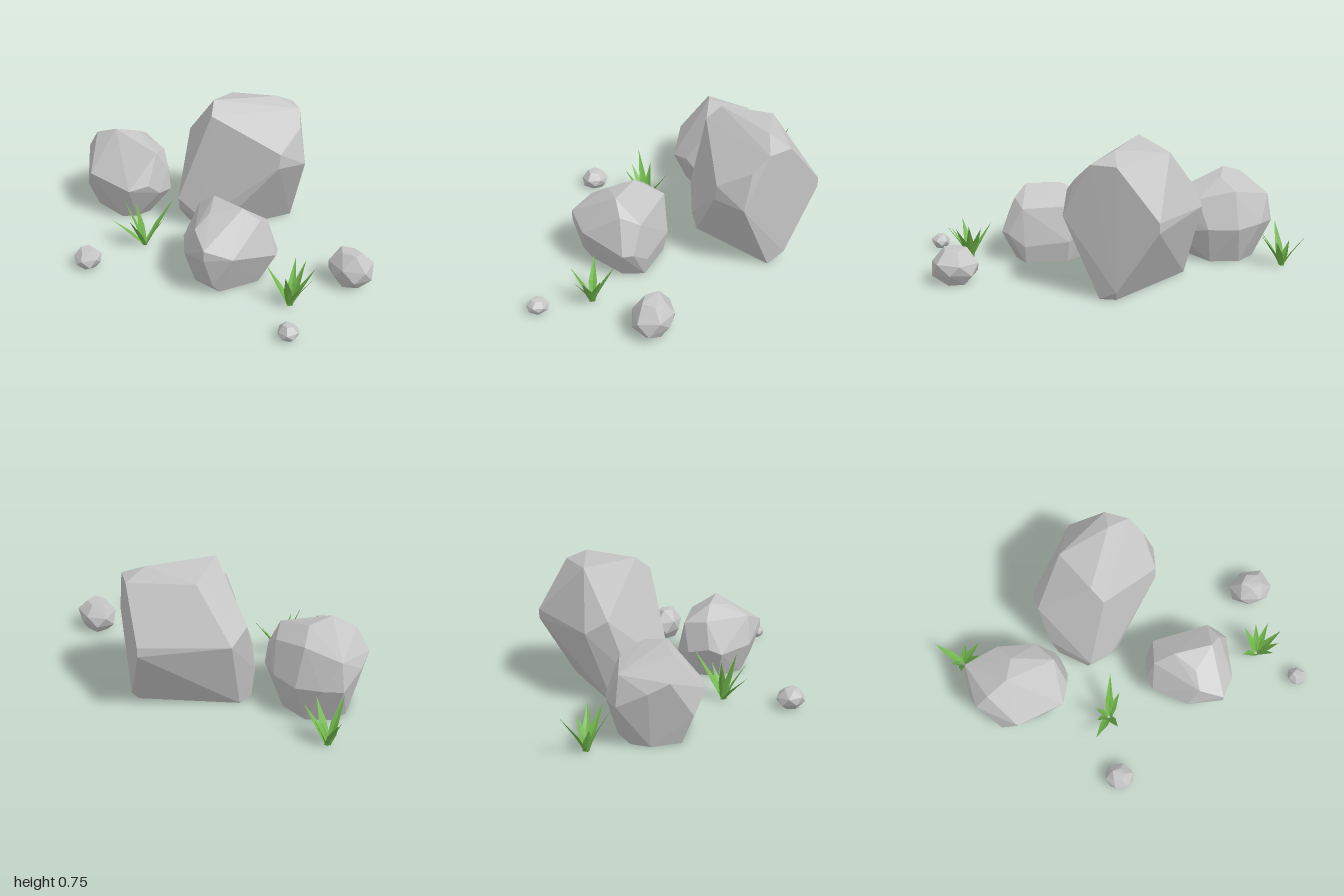
import * as THREE from 'three';
import { ConvexGeometry } from 'three/addons/geometries/ConvexGeometry.js';

const stone = new THREE.MeshStandardMaterial({ color: 0xc4c4c4, flatShading: true });
stone.name = 'grey stone';
const leaf = new THREE.MeshStandardMaterial({ color: 0x72b84c, flatShading: true, side: THREE.DoubleSide });
leaf.name = 'grass green';

// A boulder is the convex hull of its corner points
function boulder(name, corners) {
  const mesh = new THREE.Mesh(new ConvexGeometry(corners.map(c => new THREE.Vector3(...c))), stone);
  mesh.name = name;
  return mesh;
}

// A pebble is the hull of uneven rings: base, lower waist, upper waist, crown
function pebble(name, x, z, rx, h, rz, turn) {
  const rings = [[0, 0.55, 5], [0.3, 0.95, 6], [0.62, 0.98, 6], [0.97, 0.5, 5]];
  const corners = [];
  rings.forEach(([y, r, n], k) => {
    for (let i = 0; i < n; i++) {
      const a = turn + k * 0.55 + (i / n) * Math.PI * 2;
      const wobble = 1 + 0.06 * Math.sin(i * 2.3 + k * 1.7 + turn);
      const lift = k === 0 ? 0 : 0.05 * Math.sin(i * 1.9 + turn);
      corners.push([x + Math.cos(a) * rx * r * wobble, Math.min(1, y + lift) * h, z + Math.sin(a) * rz * r * wobble]);
    }
  });
  return boulder(name, corners);
}

// A folded blade leaning from its root to a pointed tip
function blade(root, tip) {
  const out = new THREE.Vector3(tip.x - root.x, 0, tip.z - root.z).normalize();
  const side = new THREE.Vector3(-out.z, 0, out.x);
  const section = (t, lean, w) => {
    const c = new THREE.Vector3(
      root.x + (tip.x - root.x) * lean, tip.y * t, root.z + (tip.z - root.z) * lean);
    return [
      c.clone().addScaledVector(side, w),
      c.clone().addScaledVector(out, 0.01 * (1 - t)),
      c.clone().addScaledVector(side, -w),
    ];
  };
  const a = section(0, 0, 0.017), b = section(0.45, 0.4, 0.021);
  const points = [];
  for (let i = 0; i < 2; i++) {
    points.push(a[i], a[i + 1], b[i + 1], a[i], b[i + 1], b[i], b[i], b[i + 1], tip);
  }
  const geometry = new THREE.BufferGeometry().setFromPoints(points);
  geometry.computeVertexNormals();
  const mesh = new THREE.Mesh(geometry, leaf);
  mesh.name = 'grassBlade';
  return mesh;
}

function tuft(name, x, z, tips) {
  const group = new THREE.Group();
  group.name = name;
  const root = new THREE.Vector3(x, 0, z);
  tips.forEach(t => group.add(blade(root, new THREE.Vector3(...t))));
  return group;
}

export function createModel() {
  const model = new THREE.Group();
  model.name = 'rocksAndGrass';

  // Large boulder at the back
  model.add(boulder('largeBoulder', [
    [-0.10, 0.745, -0.18], [0.10, 0.735, -0.49], [-0.19, 0.70, -0.44], [-0.055, 0.68, -0.11],
    [0.23, 0.68, -0.53], [0.12, 0.68, -0.61], [0.29, 0.60, -0.46], [0.30, 0.50, -0.28],
    [0.30, 0.42, -0.27], [0.35, 0.41, -0.44], [-0.06, 0.43, -0.73], [-0.06, 0.38, -0.73],
    [-0.38, 0.47, -0.28], [-0.38, 0.40, -0.40], [-0.36, 0.18, -0.18],
    [-0.19, 0.18, 0.02], [-0.20, 0.10, 0.0], [-0.05, 0.07, -0.035],
    [0.19, 0, -0.54], [0.12, 0.05, -0.61], [0.11, 0, -0.57],
    [0.0, 0, -0.08], [-0.20, 0, -0.08], [-0.33, 0, -0.17], [-0.33, 0, -0.27],
  ]));

  // Medium boulder on the -x side
  model.add(boulder('mediumBoulder', [
    [-0.66, 0.49, 0.06], [-0.78, 0.45, 0.10], [-0.60, 0.46, -0.06], [-0.65, 0.40, -0.17],
    [-0.85, 0.37, -0.14], [-0.86, 0.34, 0.10], [-0.385, 0.395, 0.0], [-0.45, 0.36, -0.13],
    [-0.36, 0.29, -0.07], [-0.33, 0.17, 0.03], [-0.35, 0.23, 0.10], [-0.41, 0.21, 0.20],
    [-0.68, 0.26, 0.25], [-0.77, 0.15, 0.20], [-0.88, 0.29, 0.0], [-0.875, 0.22, -0.15],
    [-0.79, 0.22, -0.21], [-0.65, 0.20, -0.24], [-0.49, 0.20, -0.20], [-0.34, 0.16, -0.07],
    [-0.46, 0, 0.10], [-0.52, 0, 0.16], [-0.75, 0, 0.14], [-0.81, 0, 0.0],
    [-0.79, 0, -0.10], [-0.68, 0, -0.18], [-0.52, 0, -0.15], [-0.45, 0, 0.0],
  ]));

  // Front boulder on the +x side
  model.add(boulder('frontBoulder', [
    [0.17, 0.31, 0.05], [0.49, 0.31, 0.06], [0.24, 0.41, 0.19], [0.45, 0.415, 0.21],
    [0.13, 0.33, 0.18], [0.52, 0.35, 0.16], [0.32, 0.385, 0.31], [0.31, 0.325, 0.41],
    [0.43, 0.275, 0.475], [0.43, 0.22, 0.475], [0.53, 0.22, 0.37], [0.60, 0.17, 0.12],
    [0.57, 0.17, 0.07], [0.245, 0.12, 0.005], [0.485, 0.10, 0.03], [0.12, 0.15, 0.08],
    [0.085, 0.18, 0.20], [0.095, 0.15, 0.27], [0.245, 0.17, 0.42], [0.44, 0.06, 0.42],
    [0.52, 0, 0.16], [0.44, 0, 0.37], [0.27, 0, 0.37], [0.16, 0, 0.25],
    [0.17, 0, 0.09], [0.25, 0, 0.03], [0.48, 0, 0.05],
  ]));

  // Loose stones
  model.add(pebble('sideStone', 0.87, -0.15, 0.122, 0.188, 0.108, 0.3));
  model.add(pebble('frontStone', -0.24, 0.655, 0.078, 0.105, 0.078, 1.1));
  model.add(pebble('smallStone', 0.93, 0.44, 0.054, 0.076, 0.054, 2.0));

  // Grass tufts, given by their blade tips
  model.add(tuft('backGrass', -0.885, -0.29, [
    [-0.99, 0.20, -0.38], [-0.89, 0.22, -0.165], [-0.75, 0.19, -0.31],
    [-0.77, 0.20, -0.23], [-0.94, 0.13, -0.26], [-0.83, 0.15, -0.34],
  ]));
  model.add(tuft('middleGrass', -0.18, 0.30, [
    [-0.265, 0.29, 0.37], [-0.11, 0.25, 0.135], [-0.09, 0.17, 0.23],
    [-0.295, 0.165, 0.43], [-0.165, 0.20, 0.42], [-0.25, 0.23, 0.29],
  ]));
  model.add(tuft('sideGrass', 0.77, 0.22, [
    [0.645, 0.19, 0.255], [0.715, 0.20, 0.11], [0.78, 0.21, 0.115],
    [0.90, 0.205, 0.20], [0.87, 0.17, 0.255], [0.805, 0.21, 0.31], [0.85, 0.20, 0.13],
  ]));

  return model;
}
